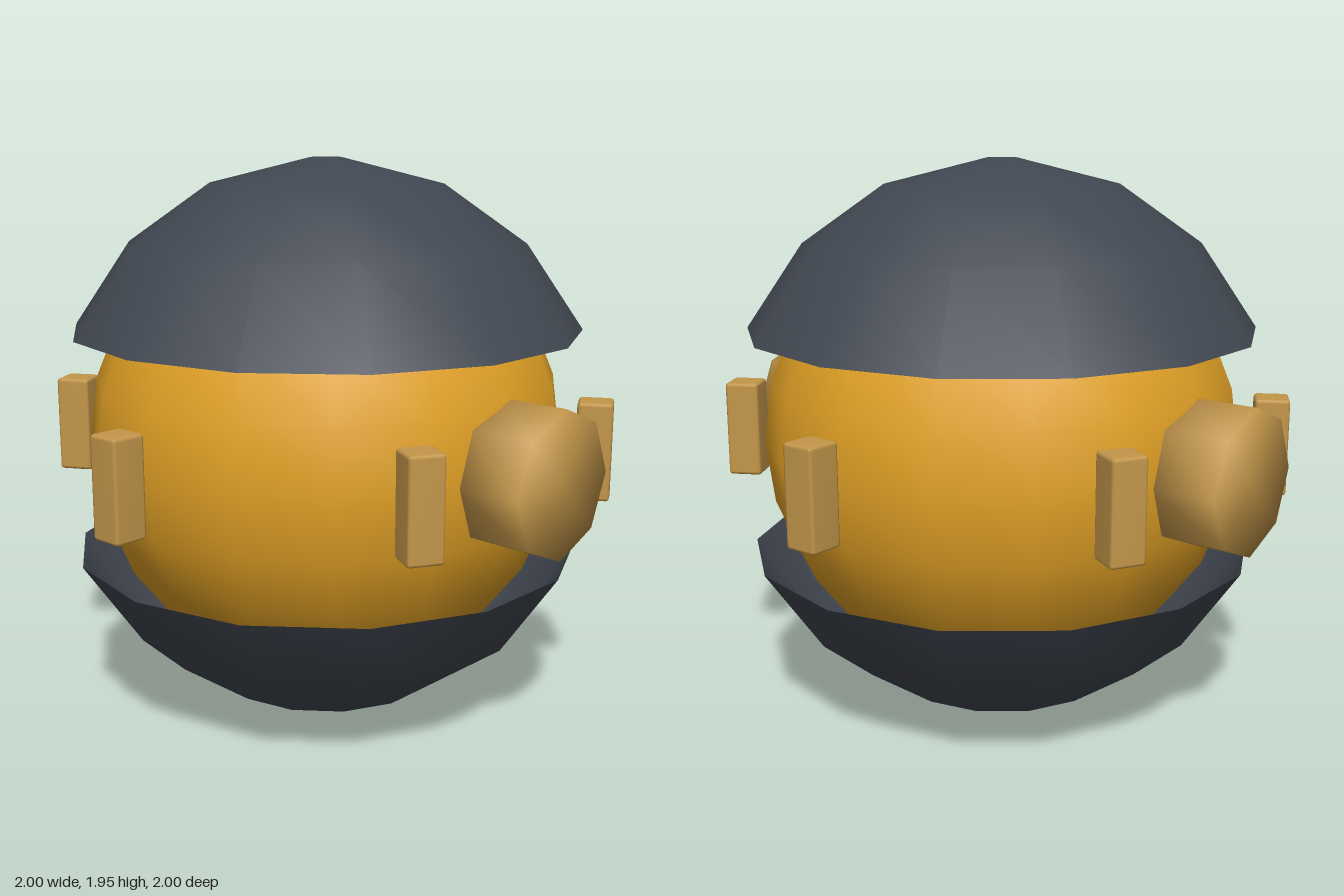
import * as THREE from 'three';
import { mergeVertices } from 'three/addons/utils/BufferGeometryUtils.js';
import { RoundedBoxGeometry } from 'three/addons/geometries/RoundedBoxGeometry.js';

const CENTRE = 0.974;

// Welds all corners so the shading runs smoothly over the edges
function weld(geometry) {
  let g = geometry.clone();
  g.deleteAttribute('normal');
  g.deleteAttribute('uv');
  g = mergeVertices(g, 1e-4);
  g.computeVertexNormals();
  return g;
}

export function createModel() {
  const model = new THREE.Group();
  model.name = 'model';

  const amber = new THREE.MeshStandardMaterial({ color: 0xe0a025 });
  amber.name = 'amber';
  const bronze = new THREE.MeshStandardMaterial({ color: 0xc4974a });
  bronze.name = 'bronze';
  const slate = new THREE.MeshStandardMaterial({ color: 0x414751, side: THREE.DoubleSide });
  slate.name = 'slate';

  const add = (name, geometry, material) => {
    const mesh = new THREE.Mesh(geometry, material);
    mesh.name = name;
    model.add(mesh);
    return mesh;
  };

  // Inner ball
  add('core', new THREE.SphereGeometry(0.835, 16, 12), amber).position.y = CENTRE;

  // Open shells above and below, profiles running upwards
  const profile = [[0.89, 0.39], [0.69, 0.683], [0.403, 0.885], [0.055, 0.972], [0, 0.974]];
  const upper = profile.map(([r, y]) => new THREE.Vector2(r, y));
  const lower = profile.map(([r, y]) => new THREE.Vector2(r, -y)).reverse();
  add('upperShell', new THREE.LatheGeometry(upper, 14, Math.PI / 2), slate).position.y = CENTRE;
  add('lowerShell', new THREE.LatheGeometry(lower, 14, Math.PI / 2), slate).position.y = CENTRE;

  // Eight-sided ports at front and back
  const port = weld(new THREE.CylinderGeometry(0.245, 0.245, 0.24, 8).rotateX(Math.PI / 2));
  for (const side of [1, -1]) {
    const mesh = add(side > 0 ? 'frontPort' : 'backPort', port, bronze);
    mesh.position.set(0, CENTRE, side * 0.88);
    if (side < 0) mesh.rotation.y = Math.PI;
  }

  // Six upright blocks around the equator
  const block = weld(new RoundedBoxGeometry(0.12, 0.34, 0.12, 1, 0.012));
  for (let i = 0; i < 6; i++) {
    const a = Math.PI / 6 + i * Math.PI / 3;
    const mesh = add('block' + (i + 1), block, bronze);
    mesh.position.set(Math.sin(a) * 0.94, CENTRE, Math.cos(a) * 0.94);
    mesh.rotation.y = a;
  }
  return model;
}
